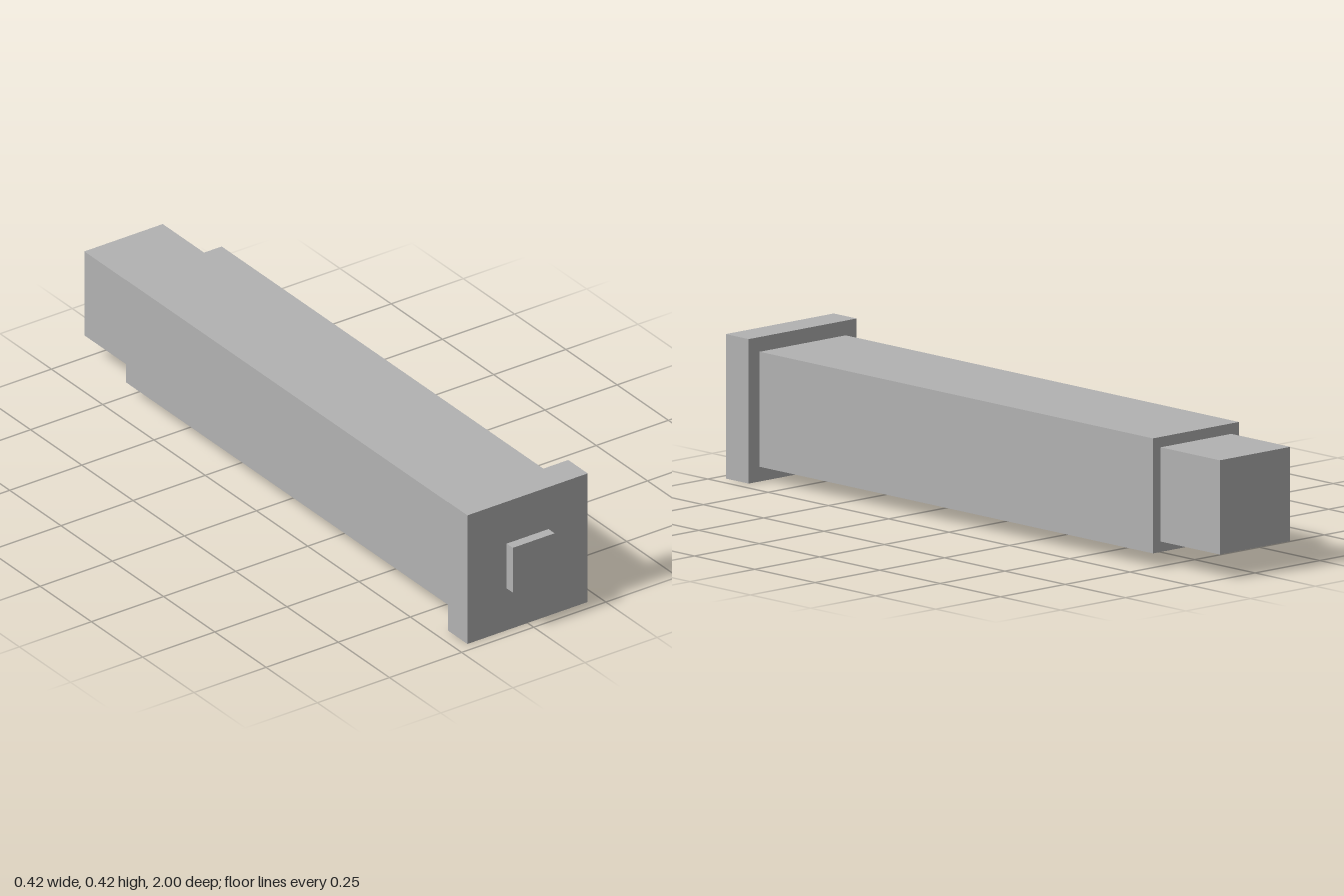
import * as THREE from 'three';

export function createModel() {
  const group = new THREE.Group();
  const grey = new THREE.MeshStandardMaterial({ color: 0xb2b2b2 });
  grey.name = 'grey';

  const axisHeight = 0.2085;

  // Square-section block along z, centred on the common axis
  function block(name, size, zBack, zFront) {
    const mesh = new THREE.Mesh(new THREE.BoxGeometry(size, size, zFront - zBack), grey);
    mesh.position.set(0, axisHeight, (zBack + zFront) / 2);
    mesh.name = name;
    group.add(mesh);
  }

  block('frontButton', 0.145, 0.97, 1);
  block('flange', 0.417, 0.875, 0.97);
  block('body', 0.332, -0.755, 0.875);
  block('rearPlug', 0.272, -1, -0.755);

  return group;
}
